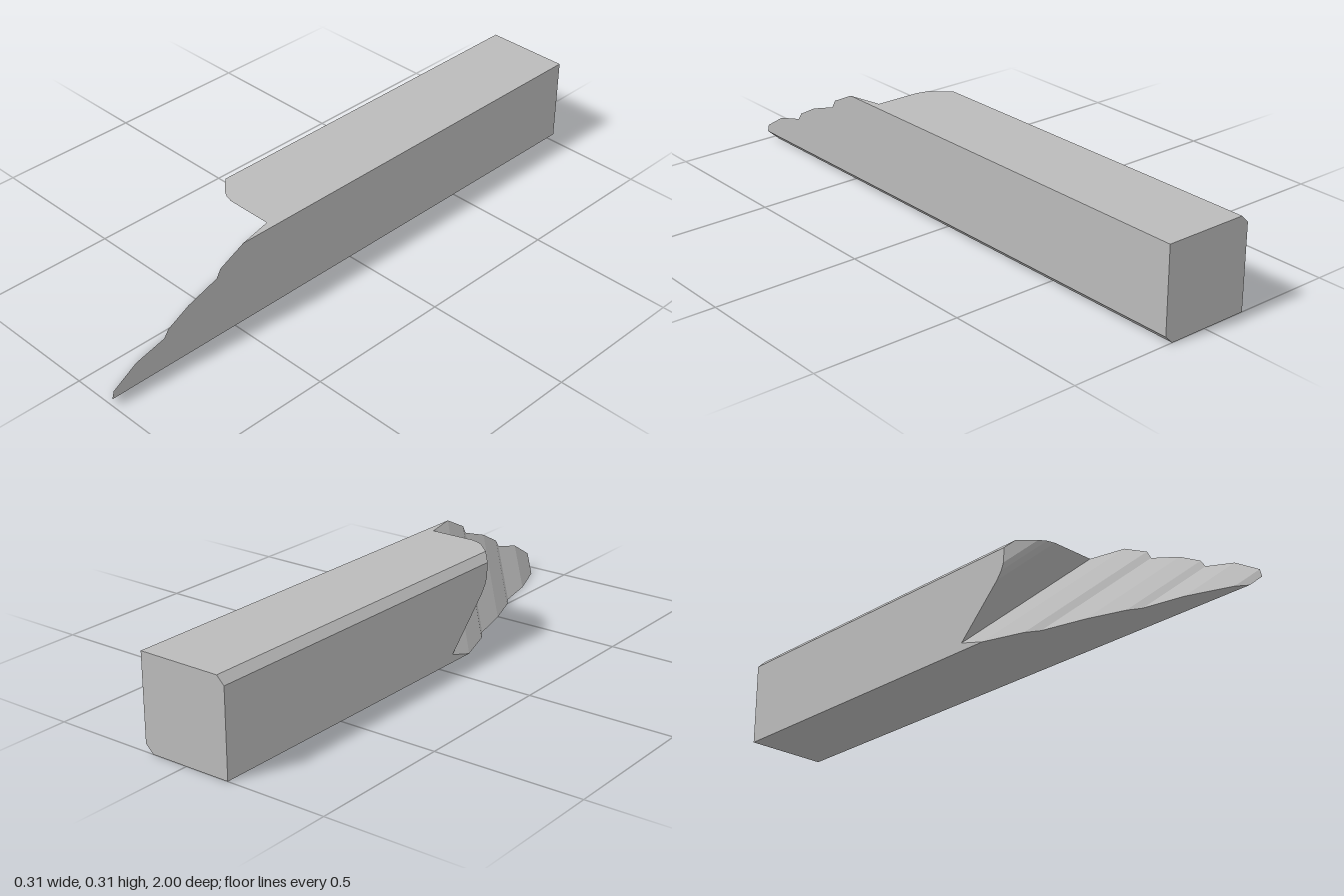
import * as THREE from 'three';

const HALF = 0.157;      // half the width of the square bar
const HEIGHT = 2 * HALF;
const BACK = -1;

// End profile: [u = x - y, z where the line meets the plane x = HALF].
// Every line of the end surface runs along the direction (1, 1, 1).
const PROFILE = [
  [-0.445, 0.578], [-0.394, 0.575], [-0.37, 0.565], [-0.343, 0.545], // rounded lip
  [-0.184, 0.386],                                                   // undercut shoulder
  [-0.157, 0.48], [-0.112, 0.572], [-0.084, 0.588],                  // stepped scarf
  [-0.046, 0.7], [-0.003, 0.78], [0.022, 0.797],
  [0.05, 0.905], [0.104, 0.993], [0.13, 1.0],
];

// Ends of the diagonal line x - y = u inside the square section
const lower = (u) => (u < -HALF ? [-HALF, -HALF - u] : [u, 0]);
const upper = (u) => (u < -HALF ? [u + HEIGHT, HEIGHT] : [HALF, HALF - u]);

function quadGeometry(quads) {
  const positions = [];
  for (const [a, b, c, d] of quads) positions.push(...a, ...b, ...c, ...a, ...c, ...d);
  const geometry = new THREE.BufferGeometry();
  geometry.setAttribute('position', new THREE.Float32BufferAttribute(positions, 3));
  geometry.computeVertexNormals();
  return geometry;
}

export function createModel() {
  const grey = new THREE.MeshStandardMaterial({ color: 0xbababa });
  grey.name = 'plain grey';

  // Corner points of each diagonal slice, front and back
  const slices = PROFILE.map(([u, z]) => {
    const [ax, ay] = lower(u);
    const [bx, by] = upper(u);
    return {
      a: [ax, ay, z + ax - HALF], b: [bx, by, z + bx - HALF],
      a0: [ax, ay, BACK], b0: [bx, by, BACK],
    };
  });

  const joint = [], body = [];
  for (let i = 0; i < slices.length - 1; i++) {
    const p = slices[i], q = slices[i + 1];
    joint.push([p.a, q.a, q.b, p.b]);       // carved end
    body.push([p.b0, q.b0, q.a0, p.a0]);    // square back end
    body.push([p.a0, q.a0, q.a, p.a]);      // left and bottom walls
    body.push([q.b0, p.b0, p.b, q.b]);      // top and right walls
  }
  // Chamfered long edges
  const first = slices[0], last = slices[slices.length - 1];
  body.push([first.b0, first.a0, first.a, first.b]);
  body.push([last.a0, last.b0, last.b, last.a]);

  const group = new THREE.Group();
  group.name = 'notchedBar';
  for (const [name, quads] of [['bar', body], ['steppedEnd', joint]]) {
    const mesh = new THREE.Mesh(quadGeometry(quads), grey);
    mesh.name = name;
    group.add(mesh);
  }
  return group;
}
